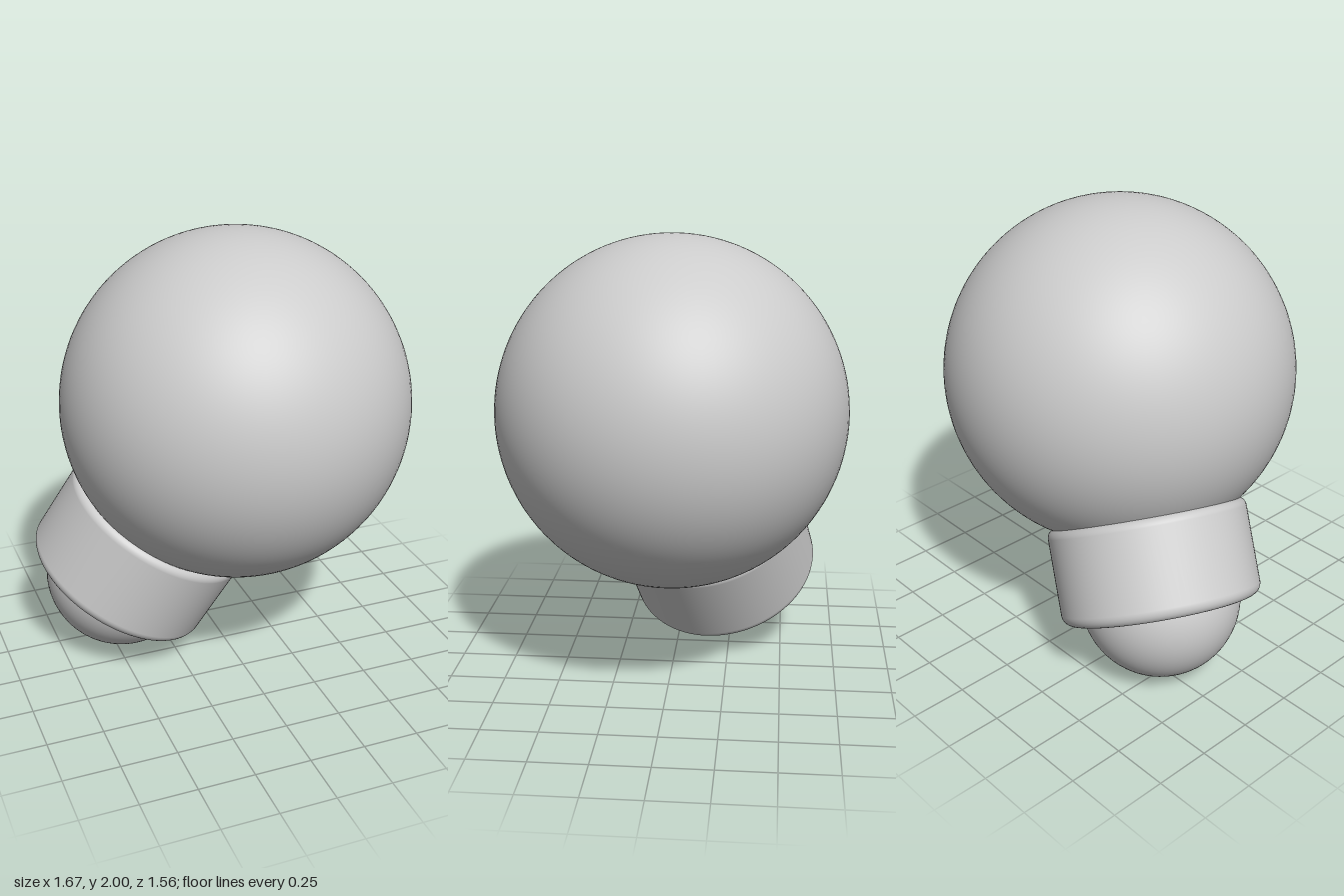
import * as THREE from 'three';

// Rounded collar profile, from the inner bottom edge to the inner top edge
function collarGeometry(radius, bottom, top, lowerRound, upperRound) {
  const points = [new THREE.Vector2(0.25, bottom)];
  const corner = (r, y, start) => {
    for (let i = 0; i <= 8; i++) {
      const a = start + (i / 8) * Math.PI / 2;
      points.push(new THREE.Vector2(radius - r + r * Math.cos(a), y + r * Math.sin(a)));
    }
  };
  corner(lowerRound, bottom + lowerRound, -Math.PI / 2);
  corner(upperRound, top - upperRound, 0);
  points.push(new THREE.Vector2(0.3, top));
  return new THREE.LatheGeometry(points, 96);
}

export function createModel() {
  const model = new THREE.Group();
  const material = new THREE.MeshStandardMaterial({ color: 0xcccccc });
  const add = (name, geometry, position) => {
    const mesh = new THREE.Mesh(geometry, material);
    mesh.name = name;
    mesh.position.copy(position);
    model.add(mesh);
    return mesh;
  };

  const bulbCentre = new THREE.Vector3(0.055, 1.222, 0);
  const tipCentre = new THREE.Vector3(-0.435, 0.355, -0.212);
  const axis = bulbCentre.clone().sub(tipCentre).normalize();

  // Large globe and the small ball at the end of the neck
  add('globe', new THREE.SphereGeometry(0.778, 96, 64), bulbCentre);
  add('tipBall', new THREE.SphereGeometry(0.355, 64, 48), tipCentre);

  // Collar around the neck, tilted along the line joining both balls
  const collar = add('collar', collarGeometry(0.446, -0.06, 0.37, 0.05, 0.04), tipCentre);
  collar.quaternion.setFromUnitVectors(new THREE.Vector3(0, 1, 0), axis);

  return model;
}
